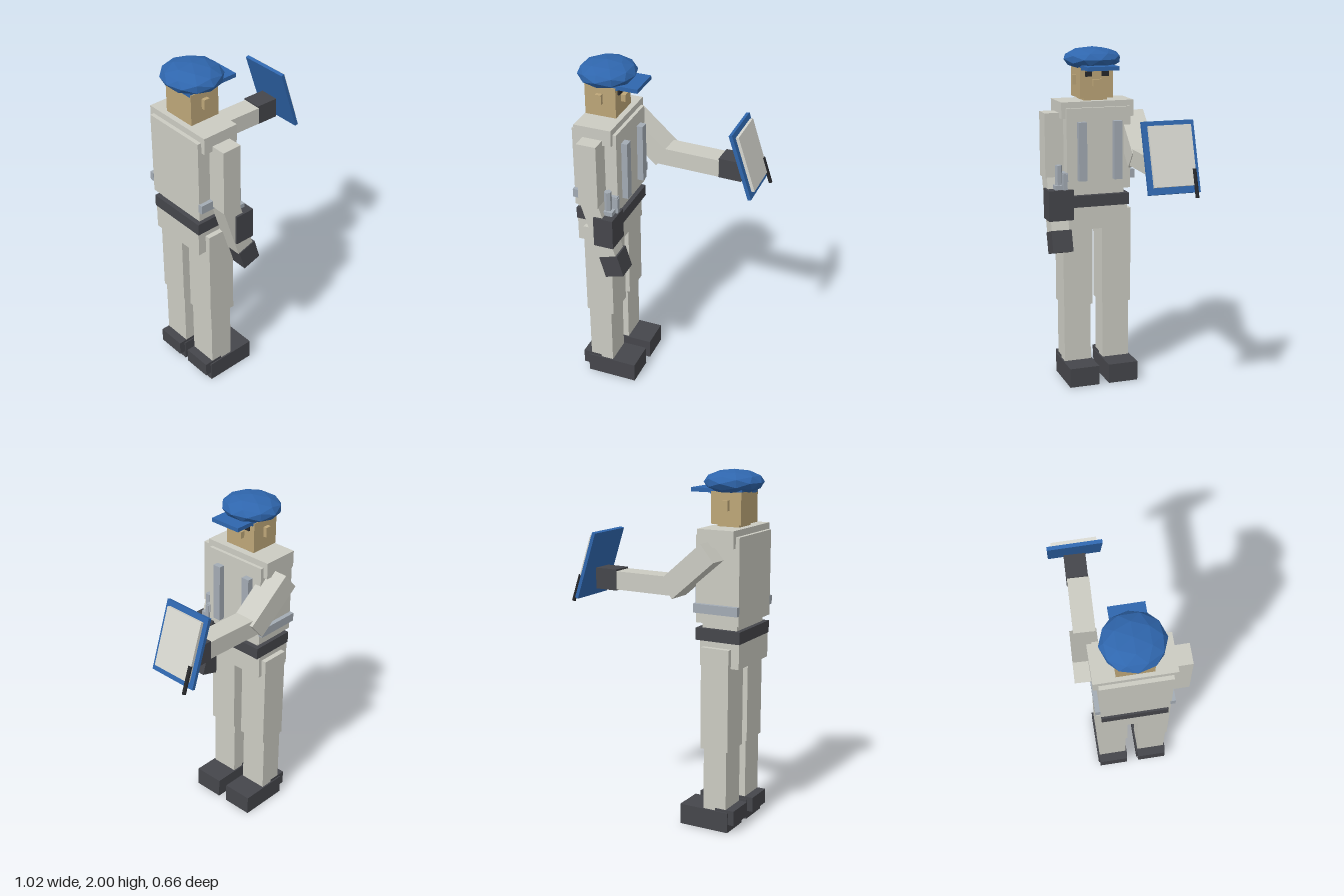
import * as THREE from 'three';

const mat = (color) => new THREE.MeshStandardMaterial({ color, flatShading: true });

export function createModel() {
  const model = new THREE.Group();
  const cloth = mat(0xcbcbc2), dark = mat(0x45464b), blue = mat(0x2f66ad);
  const skin = mat(0xbda678), metal = mat(0xa3abb4), paper = mat(0xd6d6cf), black = mat(0x26272a);

  const add = (name, geometry, material, x, y, z, tilt = 0) => {
    const mesh = new THREE.Mesh(geometry, material);
    mesh.name = name;
    mesh.position.set(x, y, z);
    mesh.rotation.z = tilt;
    model.add(mesh);
    return mesh;
  };
  // box given by its limits on each axis
  const span = (name, m, x0, x1, y0, y1, z0, z1) => add(name,
    new THREE.BoxGeometry(x1 - x0, y1 - y0, z1 - z0), m, (x0 + x1) / 2, (y0 + y1) / 2, (z0 + z1) / 2);
  // box given by centre and size, tilted about z
  const tilted = (name, m, x, y, z, w, h, d, tilt) =>
    add(name, new THREE.BoxGeometry(w, h, d), m, x, y, z, tilt);

  const mid = 0.02; // the body's plane of symmetry in z
  const sides = [1, -1];
  // mirrored pair of boxes; a and b are distances from the body's mid plane
  const pair = (name, m, x0, x1, y0, y1, a, b) => sides.forEach((s) => span(name, m, x0, x1, y0, y1,
    mid + Math.min(s * a, s * b), mid + Math.max(s * a, s * b)));

  // cap
  add('capCrown', new THREE.IcosahedronGeometry(1, 1), blue, -0.347, 1.932, mid).scale.set(0.163, 0.068, 0.172);
  span('capBand', blue, -0.44, -0.25, 1.872, 1.91, -0.075, 0.115);
  span('capVisor', blue, -0.27, -0.135, 1.877, 1.9, -0.075, 0.115);

  // head
  span('head', skin, -0.44, -0.26, 1.71, 1.885, -0.08, 0.12);
  span('neck', skin, -0.415, -0.285, 1.68, 1.71, -0.05, 0.09);
  span('nose', skin, -0.265, -0.235, 1.78, 1.82, -0.008, 0.048);
  pair('ear', skin, -0.37, -0.335, 1.785, 1.842, 0.1, 0.122);
  pair('eye', black, -0.268, -0.25, 1.835, 1.865, 0.03, 0.07);

  // torso
  span('shoulders', cloth, -0.457, -0.24, 1.6, 1.695, -0.2, 0.24);
  span('vest', cloth, -0.48, -0.22, 1.18, 1.66, -0.172, 0.215);
  span('waist', cloth, -0.455, -0.245, 1.14, 1.18, -0.14, 0.18);
  pair('sideStrap', metal, -0.482, -0.215, 1.238, 1.288, 0.19, 0.218);
  pair('chestStrip', metal, -0.222, -0.185, 1.24, 1.582, 0.083, 0.132);
  span('belt', dark, -0.482, -0.215, 1.08, 1.148, -0.165, 0.205);
  span('hips', cloth, -0.478, -0.24, 0.94, 1.085, -0.16, 0.2);

  // legs
  pair('thigh', cloth, -0.43, -0.262, 0.47, 1.048, 0.03, 0.21);
  pair('shin', cloth, -0.42, -0.28, 0.11, 0.47, 0.038, 0.203);
  pair('shoe', dark, -0.435, -0.135, 0, 0.117, 0.03, 0.212);
  pair('heel', dark, -0.47, -0.355, 0.047, 0.132, 0.036, 0.205);

  // lowered right arm
  span('rightUpperArm', cloth, -0.405, -0.29, 1.25, 1.63, 0.215, 0.326);
  tilted('rightForearm', cloth, -0.297, 1.1, 0.265, 0.105, 0.34, 0.105, 0.3);
  tilted('rightHand', dark, -0.222, 0.882, 0.262, 0.113, 0.128, 0.122, 0.29);

  // holster with radio
  span('holster', dark, -0.32, -0.205, 1.01, 1.19, 0.18, 0.33);
  add('radioAntenna', new THREE.CylinderGeometry(0.021, 0.021, 0.15, 6), metal, -0.26, 1.255, 0.255);
  span('radioBody', metal, -0.285, -0.225, 1.18, 1.215, 0.225, 0.285);
  span('radioKnob', metal, -0.25, -0.21, 1.19, 1.28, 0.215, 0.24);

  // raised left arm
  tilted('leftUpperArm', cloth, -0.218, 1.472, -0.205, 0.335, 0.124, 0.145, -0.705)
    .rotation.y = -0.04;
  tilted('leftForearm', cloth, 0.06, 1.38, -0.187, 0.375, 0.103, 0.121, 0).rotation.y = -0.035;
  tilted('leftHand', dark, 0.312, 1.382, -0.183, 0.135, 0.118, 0.12, 0).rotation.y = -0.035;

  // clipboard
  const lean = 0.316;
  tilted('clipboard', blue, 0.398, 1.461, -0.178, 0.02, 0.394, 0.297, lean);
  tilted('paper', paper, 0.418, 1.472, -0.18, 0.018, 0.33, 0.244, lean);
  const pen = add('pen', new THREE.CylinderGeometry(0.011, 0.011, 0.158, 8), black, 0.474, 1.327, -0.295, lean);
  pen.material.flatShading = true;

  return model;
}
